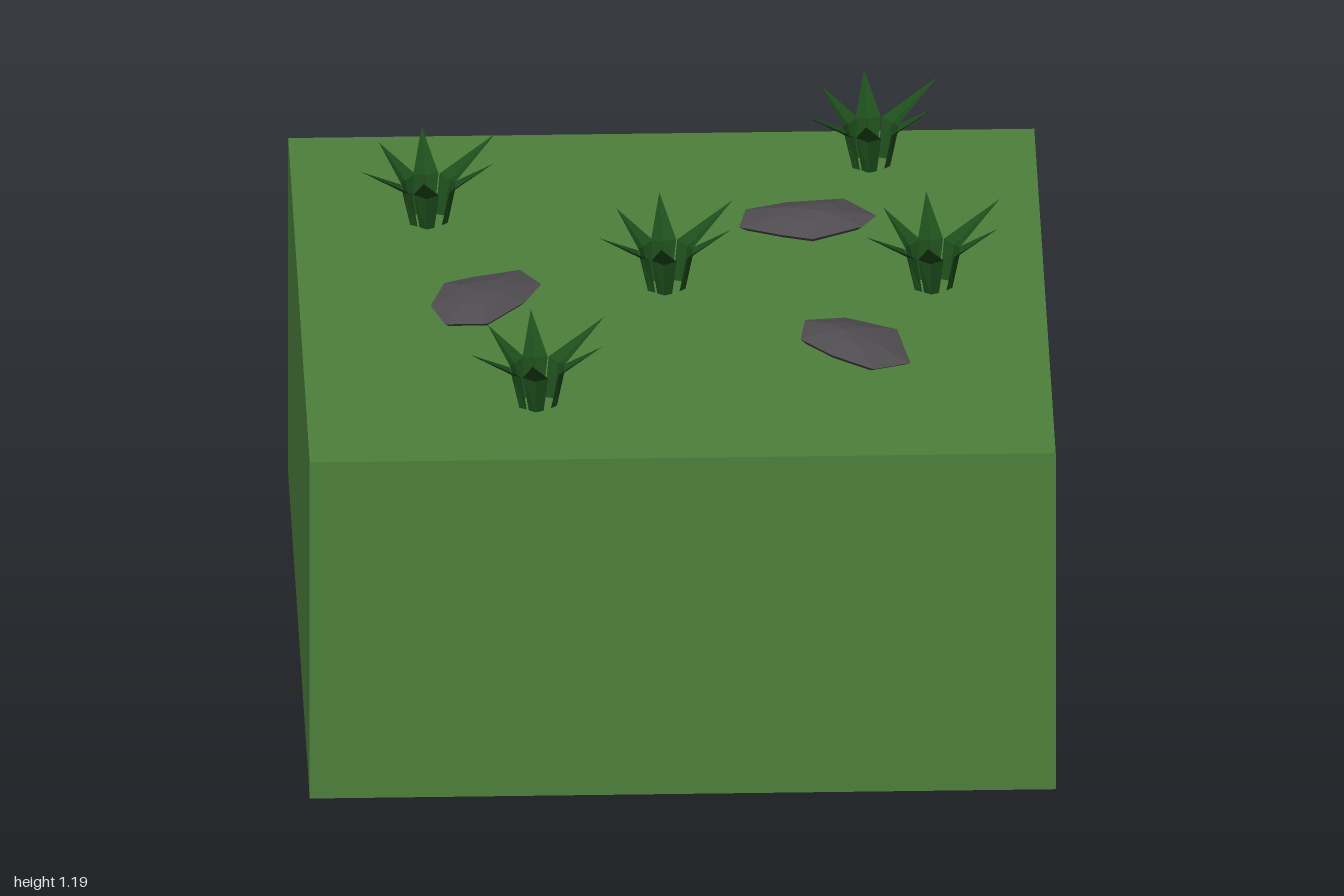
import * as THREE from 'three';
import { ConvexGeometry } from 'three/addons/geometries/ConvexGeometry.js';

const GROUND = 1;

const material = (color, side = THREE.FrontSide) =>
  new THREE.MeshStandardMaterial({ color, side, flatShading: true });

// One folded blade: an upright foot that bends outward into a pointed tip.
function bladeGeometry([tipX, tipZ]) {
  const reach = Math.hypot(tipX, tipZ);
  const ox = tipX / reach, oz = tipZ / reach; // outward direction
  const at = (r, y, side) => [ox * r - oz * side, y, oz * r + ox * side];
  const baseL = at(0.042, 0, -0.02), baseR = at(0.042, 0, 0.02), baseM = at(0.054, 0, 0);
  const midL = at(0.066, 0.108, -0.034), midR = at(0.066, 0.108, 0.034), midM = at(0.074, 0.1, 0);
  const tip = at(reach, 0.19, 0);
  const triangles = [
    baseL, midL, midM, baseL, midM, baseM,
    baseM, midM, midR, baseM, midR, baseR,
    midL, tip, midM, midM, tip, midR,
  ];
  const geometry = new THREE.BufferGeometry();
  geometry.setAttribute('position', new THREE.Float32BufferAttribute(triangles.flat(), 3));
  geometry.computeVertexNormals();
  return geometry;
}

// Flat faceted stone: thin rim, low off-centre peak and a narrower underside.
function rockGeometry(outline, [peakX, peakZ]) {
  const points = [new THREE.Vector3(peakX, GROUND + 0.064, peakZ)];
  const ring = (scale, y) => outline.forEach(([x, z], i) => {
    points.push(new THREE.Vector3(
      peakX + (x - peakX) * scale, y + (i % 2) * 0.002, peakZ + (z - peakZ) * scale));
  });
  ring(0.45, GROUND + 0.054);
  ring(1, GROUND + 0.032);
  ring(0.9, GROUND + 0.02);
  return new ConvexGeometry(points);
}

export function createModel() {
  const model = new THREE.Group();
  model.name = 'grassBlock';

  // Block of ground
  const block = new THREE.Mesh(new THREE.BoxGeometry(2, 1, 2), material(0x4d803b));
  block.name = 'groundBlock';
  block.position.y = GROUND / 2;
  model.add(block);

  // Grass tufts, all sharing the same six blades
  const tips = [
    [-0.012, -0.19], [0.184, -0.138], [0.175, 0.045],
    [-0.017, 0.167], [-0.183, 0.087], [-0.13, -0.095],
  ];
  const blades = tips.map(bladeGeometry);
  const grass = material(0x1d4d1b, THREE.DoubleSide);
  const tuftCentres = [
    [0.555, -0.795], [-0.64, -0.48], [-0.015, -0.055], [0.7, -0.04], [-0.38, 0.655],
  ];
  for (const [x, z] of tuftCentres) {
    const tuft = new THREE.Group();
    tuft.name = 'grassTuft';
    tuft.position.set(x, GROUND, z);
    for (const geometry of blades) {
      const blade = new THREE.Mesh(geometry, grass);
      blade.name = 'grassBlade';
      tuft.add(blade);
    }
    model.add(tuft);
  }

  // Flat stones
  const stone = material(0x504d50);
  const rocks = [
    { peak: [0.39, -0.39], outline: [[0.19, -0.35], [0.21, -0.455], [0.32, -0.5], [0.475, -0.515],
      [0.56, -0.41], [0.52, -0.34], [0.385, -0.27], [0.3, -0.295]] },
    { peak: [-0.52, 0.08], outline: [[-0.65, 0.11], [-0.61, -0.025], [-0.53, -0.065], [-0.405, -0.1],
      [-0.35, -0.015], [-0.395, 0.095], [-0.5, 0.225], [-0.615, 0.23]] },
    { peak: [0.45, 0.35], outline: [[0.335, 0.345], [0.35, 0.23], [0.46, 0.215], [0.595, 0.295],
      [0.625, 0.5], [0.525, 0.54], [0.415, 0.445]] },
  ];
  for (const { outline, peak } of rocks) {
    const rock = new THREE.Mesh(rockGeometry(outline, peak), stone);
    rock.name = 'rock';
    model.add(rock);
  }

  return model;
}
